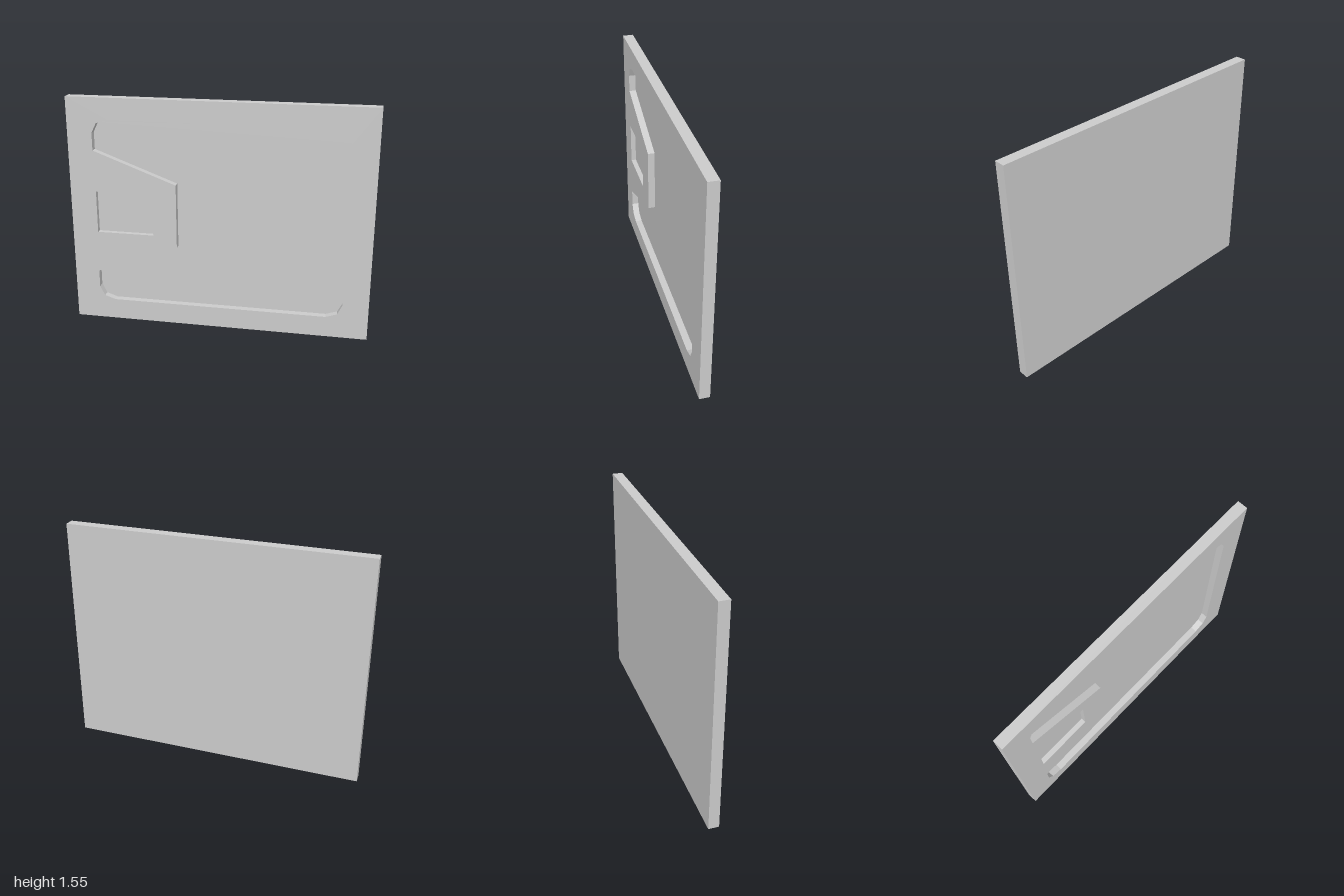
import * as THREE from 'three';

const H = 1.55, MID = H / 2, FRONT = 0.035, BACK = -0.035;
const RECESS_FLOOR = FRONT - 0.046, POCKET_FLOOR = FRONT - 0.034;

const material = new THREE.MeshStandardMaterial({ color: 0xcccccc, flatShading: true });

// Counter-clockwise rectangle
const rect = (x0, y0, x1, y1) => [[x0, y0], [x1, y0], [x1, y1], [x0, y1]];
const toVectors = (points) => points.map(([x, y]) => new THREE.Vector2(x, y));

// Flat face facing +z, with optional holes
function face(points, z, holes = []) {
  const shape = new THREE.Shape(toVectors(points));
  for (const hole of holes) shape.holes.push(new THREE.Path(toVectors(hole)));
  return new THREE.ShapeGeometry(shape).translate(0, 0, z);
}

// Closed band of walls between two depths; faces outward for a counter-clockwise outline
function walls(points, z0, z1) {
  const position = [];
  points.forEach(([ax, ay], i) => {
    const [bx, by] = points[(i + 1) % points.length];
    position.push(ax, ay, z0, bx, by, z0, bx, by, z1, ax, ay, z0, bx, by, z1, ax, ay, z1);
  });
  const geometry = new THREE.BufferGeometry();
  geometry.setAttribute('position', new THREE.Float32BufferAttribute(position, 3));
  geometry.computeVertexNormals();
  return geometry;
}

export function createModel() {
  const group = new THREE.Group();
  group.name = 'recessedPanel';
  const add = (name, geometry) => {
    const mesh = new THREE.Mesh(geometry, material);
    mesh.name = name;
    group.add(mesh);
  };

  // Outlines: the large recess is mirrored about the mid height
  const outer = rect(-1, 0, 1, H);
  const pocket = rect(-0.825, 0.635, -0.44, 0.92);
  const lowerHalf = [
    [-0.28, 0.557], [-0.833, 0.35], [-0.833, 0.233], [-0.8, 0.167], [-0.725, 0.142],
    [0.722, 0.142], [0.797, 0.167], [0.83, 0.233],
  ];
  const upperHalf = lowerHalf.map(([x, y]) => [x, 2 * MID - y]).reverse();
  const recess = [...lowerHalf, ...upperHalf];

  // Slab
  add('frontFace', face(outer, FRONT, [recess, pocket]));
  add('edges', walls(outer, BACK, FRONT));
  add('backFace', new THREE.PlaneGeometry(2, H).rotateY(Math.PI).translate(0, MID, BACK));

  // Sunken areas, with walls facing inward
  const sunken = [['recess', recess, RECESS_FLOOR], ['pocket', pocket, POCKET_FLOOR]];
  for (const [name, outline, z] of sunken) {
    add(name + 'Floor', face(outline, z));
    add(name + 'Walls', walls([...outline].reverse(), z, FRONT));
  }
  return group;
}
